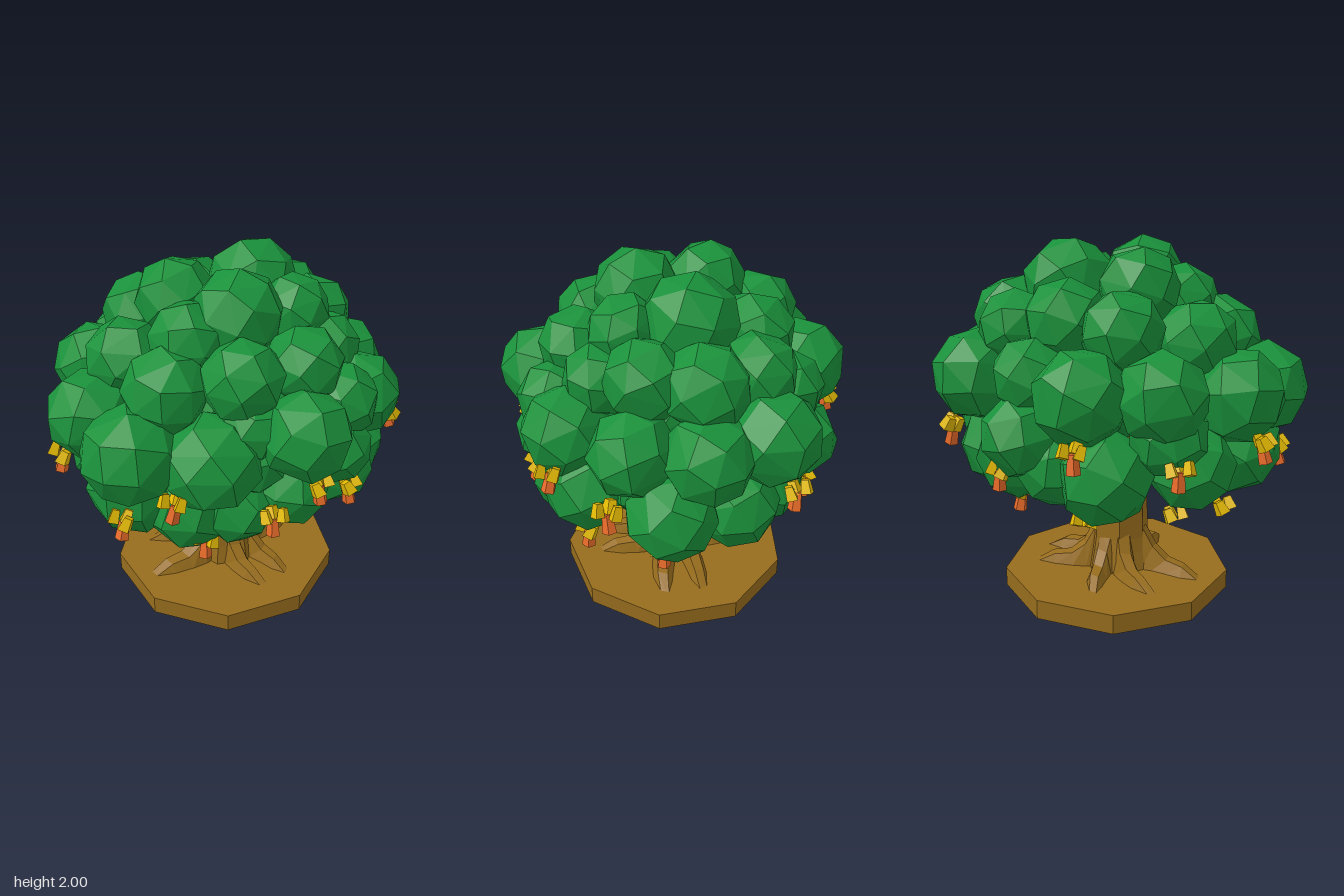
import * as THREE from 'three';
import { ConvexGeometry } from 'three/addons/geometries/ConvexGeometry.js';

const mat = (name, color) => Object.assign(new THREE.MeshStandardMaterial({ color, flatShading: true }), { name });
const leafGreen = mat('leaf green', 0x1a913b);
const bark = mat('bark brown', 0x966c1d);
const petalYellow = mat('blossom yellow', 0xe2b904);
const fruitOrange = mat('fruit orange', 0xe86b2a);

// Small seeded generator for repeatable variation
let seed = 7;
const rnd = () => (seed = (seed * 16807) % 2147483647) / 2147483647;

function add(parent, name, geometry, material, x = 0, y = 0, z = 0) {
  const mesh = new THREE.Mesh(geometry, material);
  mesh.name = name;
  mesh.position.set(x, y, z);
  parent.add(mesh);
  return mesh;
}

// Rough faceted ball: the hull of points spread in a spiral over a sphere
function clumpGeometry(count) {
  const points = [];
  for (let i = 0; i < count; i++) {
    const y = 1 - (2 * i + 1) / count;
    const a = i * 2.39996;
    const r = Math.sqrt(1 - y * y);
    points.push(new THREE.Vector3(Math.cos(a) * r, y, Math.sin(a) * r));
  }
  return new ConvexGeometry(points);
}

// Root: a ridge lofted from trapezoid sections [distance, height, half width], bending sideways
function rootGeometry(length, bend, width) {
  const sections = [[0.06, 0.34, 0.07], [0.15, 0.25, 0.068], [0.21, 0.14, 0.065], [0.29, 0.075, 0.062], [0.39, 0.06, 0.055], [0.49, 0, 0.03]];
  const pos = [], idx = [];
  sections.forEach(([d, h, w], s) => {
    const side = bend * Math.max(0, d - 0.2) ** 1.3;
    const hw = w * width;
    [[-hw, 0], [-hw * 0.5, h], [hw * 0.5, h * 0.93], [hw, 0]].forEach(([x, y]) => pos.push(x + side, y, d * length));
    if (s === 0) return;
    for (let i = 0; i < 3; i++) {
      const a = (s - 1) * 4 + i, b = a + 1, c = b + 4, e = a + 4;
      idx.push(a, e, c, a, c, b);
    }
  });
  const g = new THREE.BufferGeometry();
  g.setAttribute('position', new THREE.Float32BufferAttribute(pos, 3));
  g.setIndex(idx);
  const flat = g.toNonIndexed();
  flat.computeVertexNormals();
  return flat;
}

// Foliage clumps: x, y, z, radius, one list per layer
const clumpLayers = {
  lowerFoliage: [
    [0.76, 0.97, -0.25, 0.23], [0.61, 0.93, 0.25, 0.24], [0.5, 0.86, 0.4, 0.21], [0.18, 0.87, 0.52, 0.21],
    [-0.12, 0.81, 0.5, 0.2], [-0.34, 0.81, 0.4, 0.24], [-0.6, 0.9, 0.27, 0.25], [-0.62, 0.9, -0.14, 0.23],
    [-0.39, 0.88, -0.53, 0.24], [-0.1, 0.9, -0.57, 0.22], [0.2, 0.88, -0.57, 0.23], [0.44, 0.87, -0.49, 0.23],
    [0.42, 1.08, 0.54, 0.19], [0.02, 1.05, -0.71, 0.21], [0.52, 0.98, 0, 0.21], [-0.04, 1.1, 0.5, 0.2],
  ],
  middleFoliage: [
    [0.17, 1.3, 0.7, 0.23], [-0.27, 1.16, 0.57, 0.25], [-0.65, 1.21, 0.43, 0.25], [-0.75, 1.25, 0.07, 0.24],
    [-0.62, 1.3, -0.37, 0.23], [-0.33, 1.3, -0.63, 0.24], [0.03, 1.35, -0.62, 0.2], [0.41, 1.3, -0.66, 0.24],
    [0.64, 1.27, -0.4, 0.23], [0.73, 1.27, -0.04, 0.22], [0.63, 1.26, 0.35, 0.23],
    [0.46, 1.32, 0.48, 0.2], [-0.05, 1.32, 0.55, 0.18], [-0.62, 1.1, -0.32, 0.2],
  ],
  upperFoliage: [
    [-0.54, 1.51, 0, 0.21], [-0.43, 1.48, 0.34, 0.22], [-0.08, 1.54, 0.48, 0.21], [0.27, 1.54, 0.43, 0.2],
    [0.48, 1.5, 0.22, 0.19], [0.53, 1.57, -0.04, 0.21], [0.48, 1.56, -0.33, 0.22], [0.25, 1.55, -0.52, 0.2],
    [-0.02, 1.6, -0.42, 0.22], [-0.35, 1.58, -0.36, 0.21], [-0.27, 1.66, 0.2, 0.2],
  ],
  crownFoliage: [
    [0, 1.76, 0.2, 0.23], [0.22, 1.74, -0.16, 0.25], [-0.23, 1.76, -0.1, 0.21], [0.33, 1.7, 0.14, 0.19],
  ],
};

// Hanging blossoms with a fruit, and a few with petals only
const blossoms = [
  [0.82, 1.08, 0.36], [0.92, 1.0, 0.01], [0.22, 1.0, 0.77], [0, 0.82, 0.72], [0.47, 0.83, 0.62], [-0.49, 0.97, 0.63],
  [-0.72, 0.83, 0.5], [-0.92, 1.0, 0.05], [-0.3, 0.61, 0.53], [0.68, 0.64, 0.23], [0.2, 0.62, -0.56], [0.73, 0.67, -0.2],
  [0.12, 0.82, -0.77], [0.46, 1.0, -0.8], [-0.42, 1.04, -0.77], [-0.76, 0.94, -0.41],
];
const petalBlossoms = [[-0.26, 0.56, -0.53], [-0.56, 0.59, -0.2], [-0.67, 0.59, 0.07]];

function blossom([x, y, z], hasFruit) {
  const g = new THREE.Group();
  g.name = 'blossom';
  g.position.set(x, y, z);
  g.rotation.y = Math.atan2(x, z) + (rnd() - 0.5) * 0.6;
  if (hasFruit) {
    const fruit = add(g, 'fruit', new THREE.CylinderGeometry(0.028, 0.038, 0.1, 5), fruitOrange, 0, -0.015, 0.01);
    fruit.rotation.set(-0.15, rnd() * 3, (rnd() - 0.5) * 0.4);
  }
  // Three chunky petals fanned round the stem end
  for (const a of [-1.4, 1.4, 3.1]) {
    const petal = add(g, 'petal', new THREE.CylinderGeometry(0.03, 0.044, 0.07, 4), petalYellow,
      Math.sin(a) * 0.048, 0.04 + rnd() * 0.025, 0.015 + Math.cos(a) * 0.035);
    petal.rotation.set(0.5 * Math.cos(a), a, -0.6 * Math.sin(a));
    petal.scale.z = 0.8;
  }
  return g;
}

export function createModel() {
  const tree = new THREE.Group();
  tree.name = 'tree';

  // Nine-sided ground slab
  add(tree, 'groundSlab', new THREE.CylinderGeometry(0.65, 0.65, 0.11, 9, 1, false, THREE.MathUtils.degToRad(21.3)), bark, 0.011, 0.055, -0.014);

  // Trunk flaring at the foot and into the branches
  const profile = [[0.21, 0.1], [0.185, 0.22], [0.172, 0.3], [0.167, 0.44], [0.16, 0.7], [0.22, 0.8], [0.34, 0.94], [0, 1.0]];
  const trunkGeometry = new THREE.LatheGeometry(profile.map(([r, y]) => new THREE.Vector2(r, y)), 7).toNonIndexed();
  trunkGeometry.computeVertexNormals();
  add(tree, 'trunk', trunkGeometry, bark, 0.008, 0, 0.008).rotation.y = 0.3;

  // Roots: direction in degrees from the front, length, bend, width
  const roots = [[0, 0.9, 0.4, 1], [46, 0.92, -0.5, 1], [93, 0.98, 0.4, 1.1], [139, 0.98, -0.4, 1],
    [188, 0.85, 0.5, 1], [232, 0.92, 0.5, 1], [293, 1.03, -0.4, 1.15]];
  for (const [deg, length, bend, width] of roots) {
    add(tree, 'root', rootGeometry(length, bend, width), bark, 0, 0.105, 0).rotation.y = THREE.MathUtils.degToRad(deg);
  }

  // Faceted foliage around a hidden core that closes the gaps
  const ball = clumpGeometry(26);
  add(tree, 'foliageCore', ball, leafGreen, 0, 1.31, 0).scale.set(0.56, 0.42, 0.56);
  for (const [name, clumps] of Object.entries(clumpLayers)) {
    const layer = new THREE.Group();
    layer.name = name;
    for (const [x, y, z, r] of clumps) {
      const clump = add(layer, 'leafClump', ball, leafGreen, x, y, z);
      clump.scale.setScalar(r * 1.04);
      clump.rotation.set(rnd() * 6, rnd() * 6, rnd() * 6);
    }
    tree.add(layer);
  }

  blossoms.forEach((p) => tree.add(blossom(p, true)));
  petalBlossoms.forEach((p) => tree.add(blossom(p, false)));
  return tree;
}
